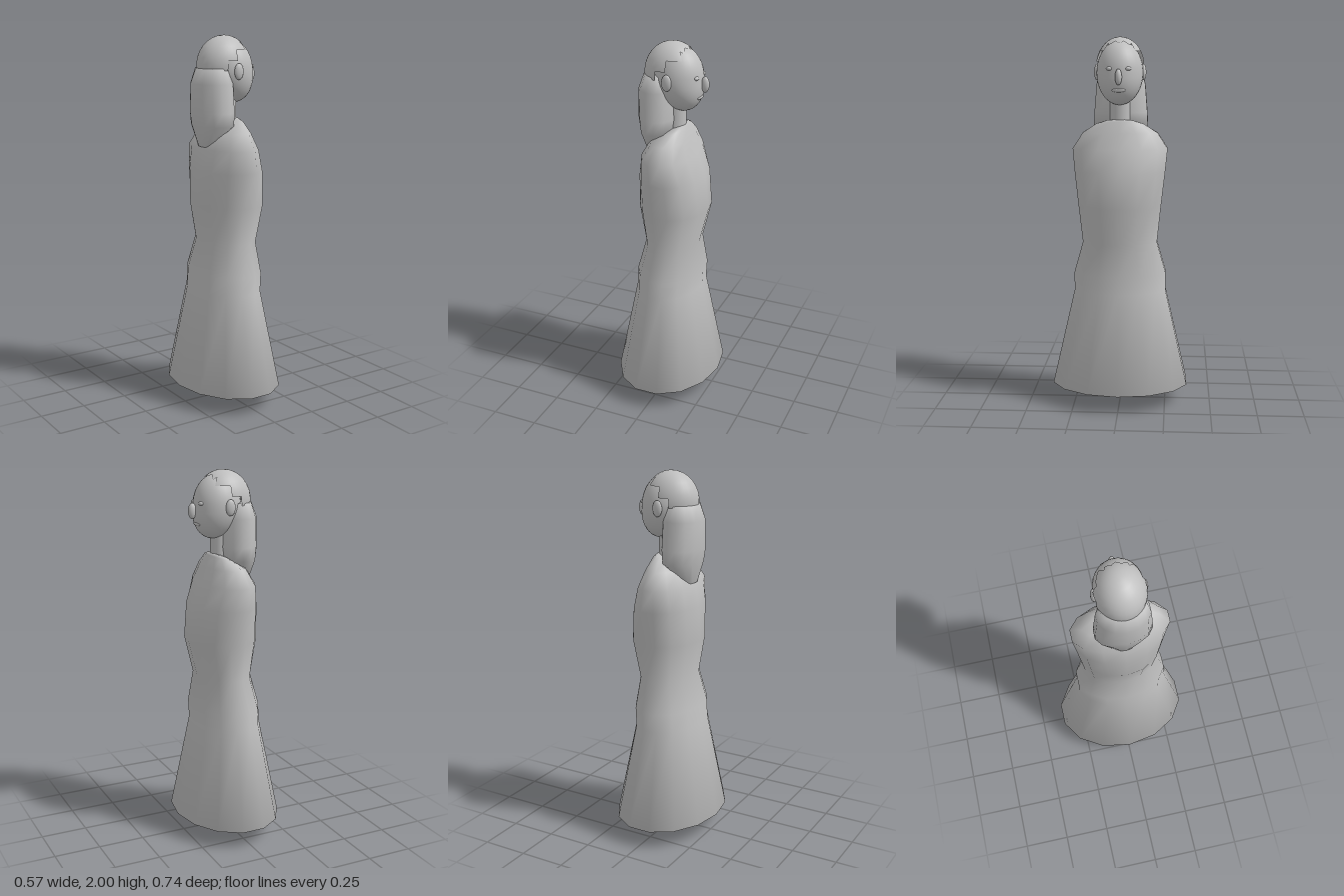
import * as THREE from 'three';

const clay = new THREE.MeshStandardMaterial({ color: 0xbfbfbf, side: THREE.DoubleSide });
clay.name = 'plain grey';

// Closed smooth skin over elliptical rings [y, xBack, xFront, zRadius, forwardTilt], listed upward
function loft(rings, n, bottom, top) {
  const pos = [], idx = [];
  for (const [y, x0, x1, rz, tilt = 0] of rings) {
    for (let i = 0; i < n; i++) {
      const a = (i / n) * Math.PI * 2, c = Math.cos(a);
      pos.push((x0 + x1) / 2 + c * (x1 - x0) / 2, y + tilt * c, Math.sin(a) * rz);
    }
  }
  for (let r = 0; r < rings.length - 1; r++) {
    for (let i = 0; i < n; i++) {
      const a = r * n + i, b = r * n + (i + 1) % n;
      idx.push(a, a + n, b, b, a + n, b + n);
    }
  }
  const lo = rings.length * n, last = lo - n;
  pos.push(...bottom, ...top);
  for (let i = 0; i < n; i++) {
    const j = (i + 1) % n;
    idx.push(i, j, lo, last + i, lo + 1, last + j);
  }
  return surface(pos, idx);
}

function surface(pos, idx) {
  const g = new THREE.BufferGeometry();
  g.setAttribute('position', new THREE.Float32BufferAttribute(pos, 3));
  g.setIndex(idx);
  g.computeVertexNormals();
  return g;
}

function ellipsoid(rx, ry, rz, w = 20, h = 14) {
  return new THREE.SphereGeometry(1, w, h).scale(rx, ry, rz);
}

// Domed hair cap whose lower edge rises in steps from the nape to the forehead
function hairCap() {
  const cx = 0.005, cy = 1.84, rx = 0.15, ry = 0.16, rz = 0.13;
  const steps = [[0, 1.966], [20, 1.976], [38, 1.955], [48, 1.965], [49, 1.925], [86, 1.925],
    [87, 1.87], [109, 1.87], [110, 1.82], [180, 1.82]];
  const edge = [];
  for (let k = 0; k < steps.length - 1; k++) {
    const [a0, y0] = steps[k], [a1, y1] = steps[k + 1];
    const parts = Math.max(1, Math.round((a1 - a0) / 12));
    for (let p = 0; p < parts; p++) edge.push([a0 + (a1 - a0) * p / parts, y0 + (y1 - y0) * p / parts]);
  }
  const around = [...edge, [180, 1.82], ...edge.slice(1).reverse().map(([a, y]) => [360 - a, y])];
  const n = around.length, rows = 8, pos = [], idx = [];
  for (let r = 0; r <= rows; r++) {
    for (const [deg, y] of around) {
      const a = deg * Math.PI / 180, t = Math.acos((y - cy) / ry) * (1 - r / rows);
      pos.push(cx + rx * Math.sin(t) * Math.cos(a), cy + ry * Math.cos(t), rz * Math.sin(t) * Math.sin(a));
    }
  }
  for (let r = 0; r < rows; r++) {
    for (let i = 0; i < n; i++) {
      const a = r * n + i, b = r * n + (i + 1) % n;
      idx.push(a, a + n, b);
      if (r < rows - 1) idx.push(b, a + n, b + n);
    }
  }
  const g = surface(pos, idx);
  // The dome is part of an ellipsoid, so its normals are exact
  const p = g.attributes.position, v = new THREE.Vector3();
  for (let i = 0; i < p.count; i++) {
    v.set((p.getX(i) - cx) / rx ** 2, (p.getY(i) - cy) / ry ** 2, p.getZ(i) / rz ** 2).normalize();
    g.attributes.normal.setXYZ(i, v.x, v.y, v.z);
  }
  return g;
}

export function createModel() {
  const model = new THREE.Group();
  model.name = 'robedFigure';
  const add = (name, geometry, x = 0, y = 0, z = 0) => {
    const mesh = new THREE.Mesh(geometry, clay);
    mesh.name = name;
    mesh.position.set(x, y, z);
    model.add(mesh);
    return mesh;
  };

  // Long robe from the pointed underside to the collar
  add('robe', loft([
    [0.10, -0.285, 0.285, 0.38],
    [0.63, -0.18, 0.18, 0.256],
    [0.73, -0.175, 0.185, 0.256],
    [0.90, -0.13, 0.16, 0.207],
    [1.10, -0.165, 0.21, 0.228],
    [1.29, -0.16, 0.19, 0.25],
    [1.41, -0.14, 0.145, 0.262],
    [1.495, -0.09, 0.11, 0.205],
    [1.54, -0.03, 0.085, 0.13, 0.015],
    [1.555, 0, 0.072, 0.085, 0.012],
  ], 14, [0, 0, 0], [0.036, 1.56, 0]));

  // Neck
  add('neck', new THREE.CylinderGeometry(0.055, 0.055, 0.2, 16), 0.02, 1.6, 0);

  // Head, with the chin pushed forward
  const head = ellipsoid(0.128, 0.168, 0.124, 28, 20);
  const p = head.attributes.position;
  for (let i = 0; i < p.count; i++) p.setX(i, p.getX(i) + Math.max(0, -p.getY(i)) * 0.15);
  head.computeVertexNormals();
  add('head', head, 0.04, 1.812, 0);

  // Hair: cap on the skull and a long fall down the back
  add('hairCap', hairCap());
  add('backHair', loft([
    [1.42, -0.14, -0.06, 0.06],
    [1.53, -0.163, 0.03, 0.15],
    [1.60, -0.175, 0.04, 0.147],
    [1.75, -0.175, 0.035, 0.135],
    [1.83, -0.145, 0.01, 0.115],
  ], 14, [-0.1, 1.4, 0], [-0.06, 1.84, 0]));

  // Face
  add('nose', ellipsoid(0.022, 0.042, 0.018), 0.181, 1.793, 0);
  add('mouth', ellipsoid(0.014, 0.012, 0.037), 0.153, 1.725, 0);
  for (const side of [-1, 1]) {
    add(side < 0 ? 'leftEye' : 'rightEye', ellipsoid(0.013, 0.011, 0.017), 0.151, 1.835, side * 0.048);
    add(side < 0 ? 'leftEar' : 'rightEar', ellipsoid(0.027, 0.043, 0.015), 0.02, 1.815, side * 0.124);
  }
  return model;
}
